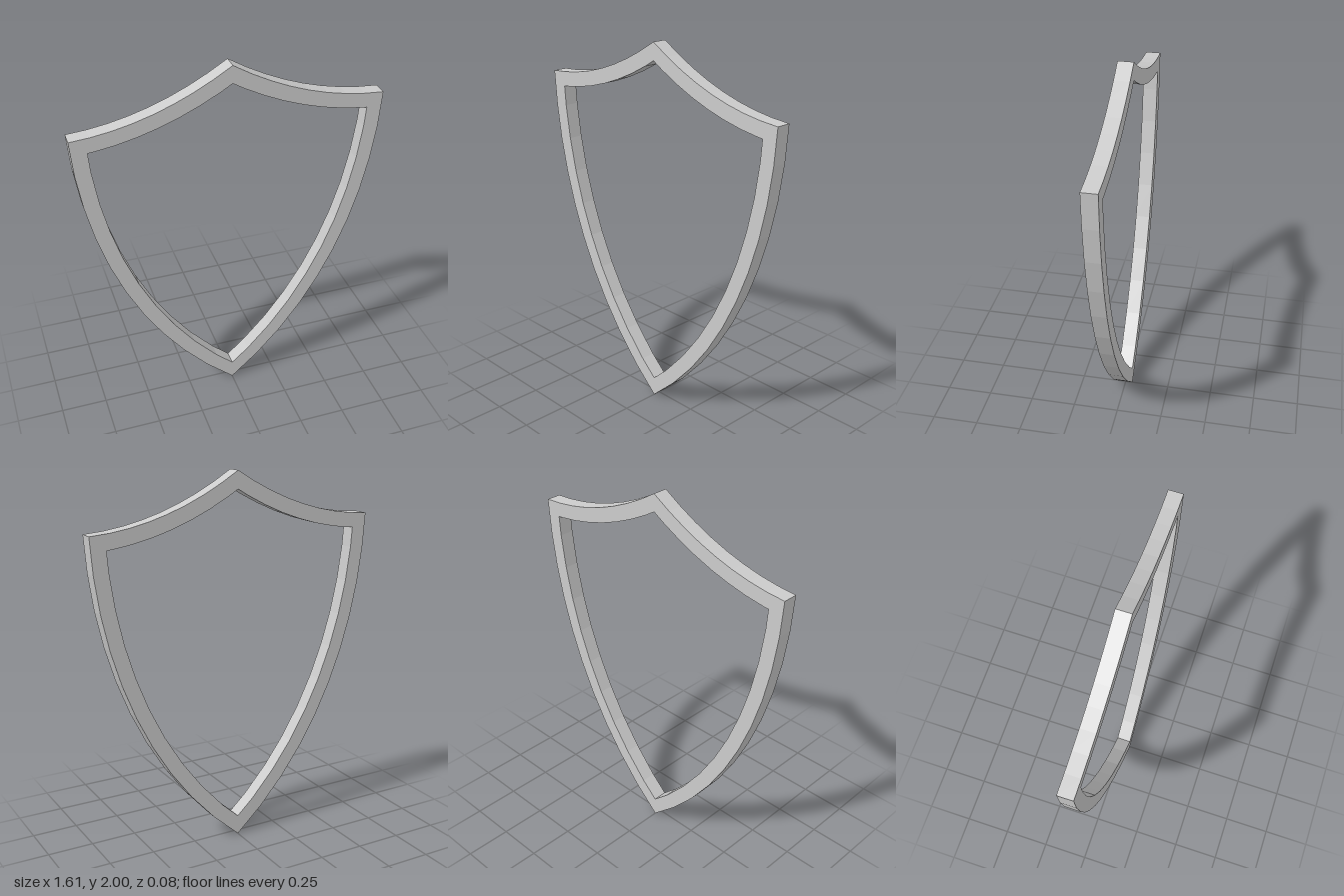
import * as THREE from 'three';

const DEPTH = 0.08;   // front to back
const WIDTH = 0.08;   // width of the rim

// Half outline on +x, from the top peak to the bottom point
function halfOutline() {
  const v = (x, y) => new THREE.Vector2(x, y);
  const brow = new THREE.QuadraticBezierCurve(v(0, 2), v(0.39, 1.75), v(0.803, 1.733));
  const side = new THREE.CubicBezierCurve(v(0.803, 1.733), v(0.78, 1.1), v(0.53, 0.44), v(0, 0));
  return [...brow.getPoints(8), ...side.getPoints(10).slice(1)];
}

// Closed clockwise outline, mirrored to -x
function mirrorOutline(half) {
  const other = half.slice(1, -1).reverse().map(p => new THREE.Vector2(-p.x, p.y));
  return [...half, ...other];
}

// Mitred inward offset of a closed clockwise outline
function inset(points, w) {
  const n = points.length;
  const normal = (a, b) => {
    const d = b.clone().sub(a).normalize();
    return new THREE.Vector2(d.y, -d.x);
  };
  return points.map((p, i) => {
    const n1 = normal(points[(i + n - 1) % n], p);
    const n2 = normal(p, points[(i + 1) % n]);
    const k = w / (1 + n1.dot(n2));
    return p.clone().add(n1.add(n2).multiplyScalar(k));
  });
}

export function createModel() {
  const group = new THREE.Group();
  group.name = 'shieldFrame';

  // Open shield-shaped rim; the hole runs opposite to the outline so its walls face inward
  const outer = mirrorOutline(halfOutline());
  const shape = new THREE.Shape(outer);
  shape.holes.push(new THREE.Path(inset(outer, WIDTH).reverse()));
  const geometry = new THREE.ExtrudeGeometry(shape, { depth: DEPTH, bevelEnabled: false });
  geometry.translate(0, 0, -DEPTH / 2);

  const rim = new THREE.Mesh(geometry, new THREE.MeshStandardMaterial({ color: 0xcccccc }));
  rim.name = 'rim';
  group.add(rim);
  return group;
}
